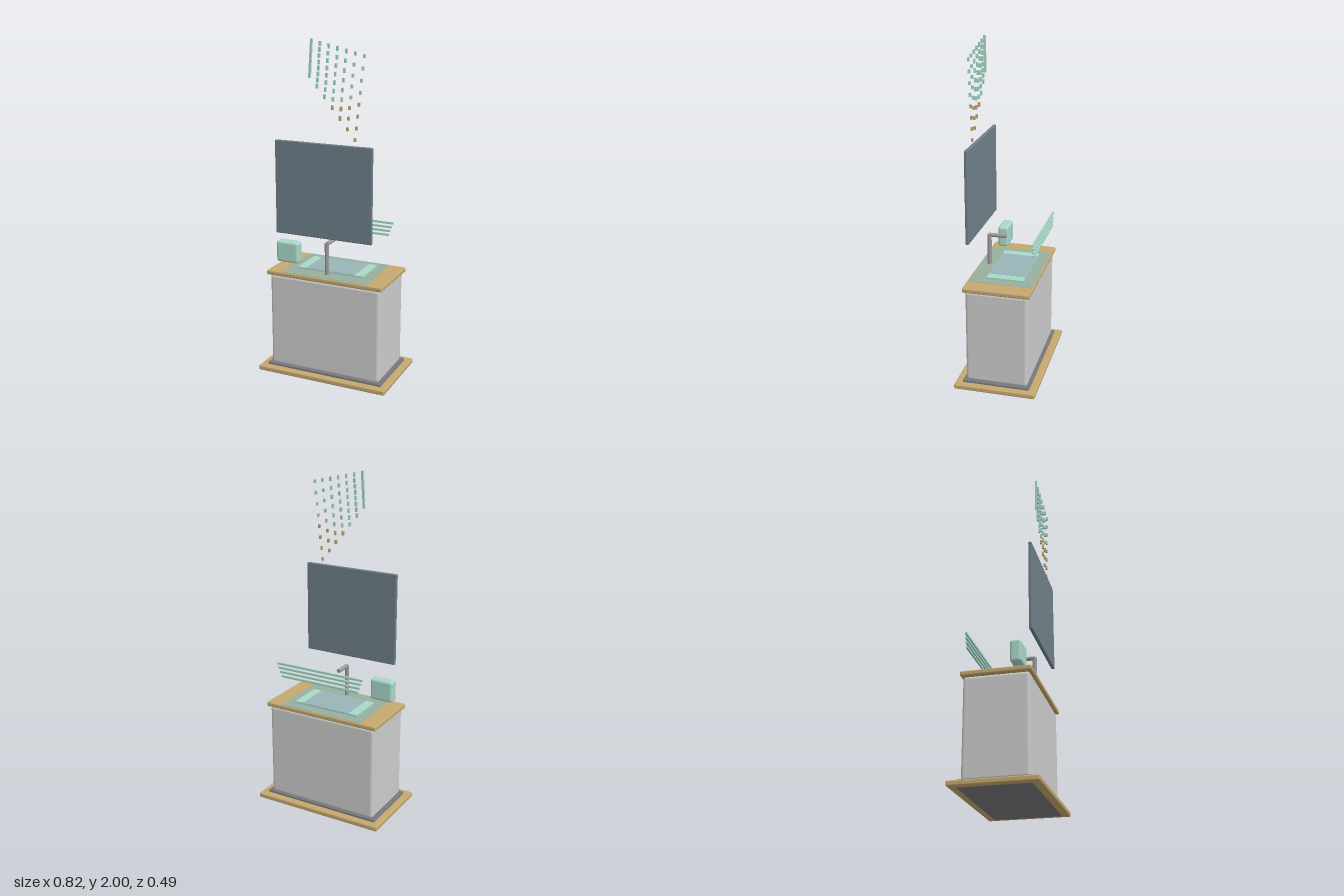
import * as THREE from 'three';
import { RoundedBoxGeometry } from 'three/addons/geometries/RoundedBoxGeometry.js';

const paint = (color) => new THREE.MeshStandardMaterial({ color });
const GREY = paint(0xcccccc), TAN = paint(0xc4a870), MINT = paint(0xa8d8c8);
const SAGE = paint(0x97ae9d), SLATE = paint(0x6f7f88), BLUE = paint(0x98b4b8);
const STEEL = paint(0x9c9a9a), DARK = paint(0x77777a);

export function createModel() {
  const model = new THREE.Group();

  // Box given by its min and max corners; r > 0 rounds the edges
  function box(name, material, [x0, y0, z0], [x1, y1, z1], r = 0, parent = model) {
    const size = [x1 - x0, y1 - y0, z1 - z0];
    const geometry = r ? new RoundedBoxGeometry(...size, 3, r) : new THREE.BoxGeometry(...size);
    const mesh = new THREE.Mesh(geometry, material);
    mesh.name = name;
    mesh.position.set((x0 + x1) / 2, (y0 + y1) / 2, (z0 + z1) / 2);
    parent.add(mesh);
    return mesh;
  }

  // Cabinet on its plinth
  box('plinth', TAN, [-0.41, 0.004, -0.243], [0.41, 0.034, 0.243], 0.008);
  box('plinthMoulding', DARK, [-0.37, 0, -0.2], [0.37, 0.048, 0.2], 0.008);
  box('cabinet', GREY, [-0.35, 0.04, -0.184], [0.35, 0.612, 0.184], 0.018);

  // Worktop with a thin coloured inlay
  box('worktop', TAN, [-0.367, 0.612, -0.197], [0.367, 0.64, 0.197], 0.008);
  box('worktopInlay', SAGE, [-0.267, 0.636, -0.19], [0.267, 0.6415, 0.19]);

  // Basin slab with a blue centre
  box('basin', MINT, [-0.21, 0.638, -0.126], [0.21, 0.652, 0.094]);
  box('basinCentre', BLUE, [-0.155, 0.648, -0.125], [0.155, 0.653, 0.093]);

  // Tap: upright pipe and horizontal spout
  const tap = new THREE.Group();
  tap.name = 'tap';
  const pipe = (name, radius, length) => {
    const mesh = new THREE.Mesh(new THREE.CylinderGeometry(radius, radius, length, 20), STEEL);
    mesh.name = name;
    tap.add(mesh);
    return mesh;
  };
  pipe('tapUpright', 0.013, 0.19).position.set(0, 0.742, 0.133);
  const spout = pipe('tapSpout', 0.012, 0.104);
  spout.rotation.x = Math.PI / 2;
  spout.position.set(0, 0.833, 0.081);
  model.add(tap);

  // Small rounded box beside the tap
  box('sideBox', MINT, [-0.335, 0.68, 0.07], [-0.192, 0.81, 0.134], 0.016);

  // Upright panel
  box('panel', SLATE, [-0.3, 0.88, 0.17], [0.3, 1.43, 0.19], 0.006);

  // Four rails at the back, each a little wider than the one below
  const rails = new THREE.Group();
  rails.name = 'rails';
  for (let i = 0; i < 4; i++) {
    const half = 0.255 + i * 0.009, y = 0.829 + i * 0.025;
    box('rail', MINT, [-half, y - 0.006, -0.2], [half, y + 0.006, -0.189], 0, rails);
  }
  model.add(rails);

  // Slanted columns of small tiles, fanning out towards the lower right
  const tiles = new THREE.Group();
  tiles.name = 'tiles';
  for (let c = 0; c < 7; c++) {
    const topY = 1.987 - c * 0.0115, step = 0.0265 + c * 0.0064;
    const topX = -0.071 + c * 0.052, slant = 0.0018 + c * 0.0009;
    for (let r = 0; r < 8; r++) {
      const x = topX - r * slant, y = topY - r * step;
      const h = c < 5 ? 0.026 - c * 0.0005 : 0.02;
      box('tile', y < 1.66 ? TAN : MINT,
        [x - 0.006, y - h / 2, 0.166], [x + 0.006, y + h / 2, 0.178], 0, tiles);
    }
  }
  model.add(tiles);

  return model;
}
